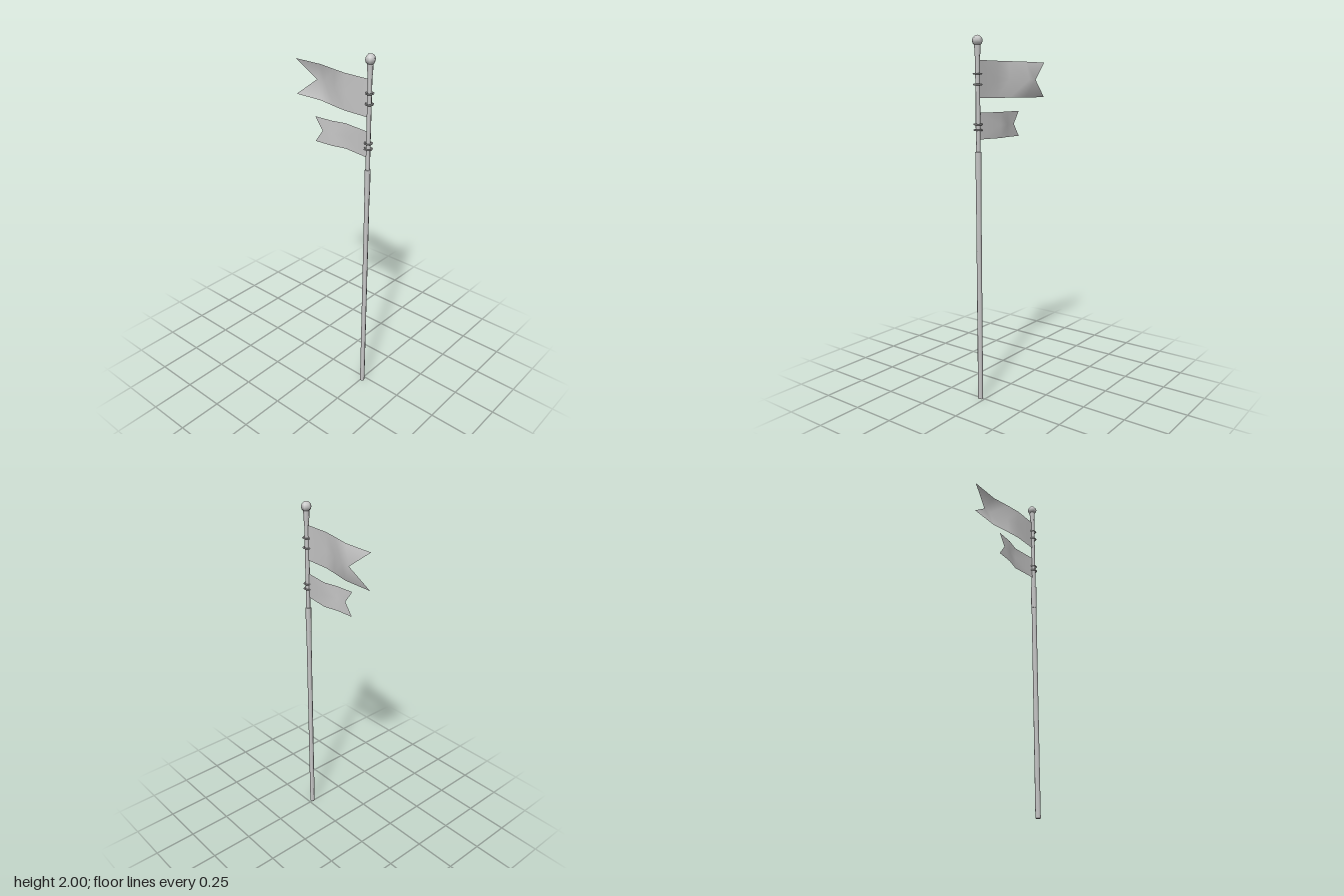
import * as THREE from 'three';

const POLE_X = 0.257, POLE_Z = 0.025, SIDES = 6;
const metal = new THREE.MeshStandardMaterial({ color: 0xcccccc });
const cloth = new THREE.MeshStandardMaterial({ color: 0xcccccc, side: THREE.DoubleSide });

function add(parent, name, geometry, material = metal) {
  const mesh = new THREE.Mesh(geometry, material);
  mesh.name = name;
  parent.add(mesh);
  return mesh;
}

// Six-sided rod between two heights, with corners on the x axis
function rod(parent, name, y0, y1, r0, r1 = r0) {
  const g = new THREE.CylinderGeometry(r1, r0, y1 - y0, SIDES);
  g.rotateY(Math.PI / 2);
  g.translate(0, (y0 + y1) / 2, 0);
  return add(parent, name, g);
}

// Cloth sheet: each column is [edge x, edge z, middle x, middle z];
// the last column's middle point forms the swallowtail notch
function banner(parent, name, top, bottom, columns) {
  const pos = [], index = [], middle = (top + bottom) / 2;
  for (const [x, z, mx, mz] of columns) {
    pos.push(x, top, z, mx, middle, mz, x, bottom, z);
  }
  for (let i = 0; i < columns.length - 1; i++) {
    const a = i * 3, b = a + 3;
    // upper and lower halves, mirrored diagonals
    index.push(a, b, b + 1, a, b + 1, a + 1);
    index.push(a + 1, b + 1, a + 2, a + 2, b + 1, b + 2);
  }
  // columns run towards -x, so reverse the winding to face the front
  index.reverse();
  const g = new THREE.BufferGeometry();
  g.setAttribute('position', new THREE.Float32BufferAttribute(pos, 3));
  g.setIndex(index);
  g.computeVertexNormals();
  return add(parent, name, g, cloth);
}

export function createModel() {
  const model = new THREE.Group();
  model.name = 'bannerPole';

  // Pole with sleeve joint, flared cap and ball
  const pole = new THREE.Group();
  pole.name = 'pole';
  pole.position.set(POLE_X, 0, POLE_Z);
  model.add(pole);
  rod(pole, 'lowerShaft', 0, 1.3, 0.0145);
  rod(pole, 'upperShaft', 1.3, 1.92, 0.0125);
  rod(pole, 'jointSleeve', 1.255, 1.4, 0.0165);
  rod(pole, 'topCollar', 1.895, 1.955, 0.0145, 0.017);
  const ball = new THREE.SphereGeometry(0.028, SIDES, 6);
  ball.translate(0, 1.972, 0);
  add(pole, 'finialBall', ball);

  // Rings holding the banners
  for (const y of [1.805, 1.75, 1.545, 1.515]) {
    const ring = new THREE.TorusGeometry(0.021, 0.0045, 5, SIDES);
    ring.rotateX(Math.PI / 2);
    ring.translate(0, y, 0);
    add(pole, 'ring', ring);
  }

  // Long upper banner, bulging backwards along its middle
  banner(model, 'upperBanner', 1.875, 1.68, [
    [0.25, 0.025, 0.25, 0.025],
    [0.095, 0.02, 0.095, 0.02],
    [0.01, 0.003, 0.01, 0.003],
    [-0.105, -0.023, -0.105, -0.05],
    [-0.285, -0.025, -0.16, -0.052],
  ]);

  // Short lower banner with a gentle wave
  banner(model, 'lowerBanner', 1.605, 1.465, [
    [0.25, 0.025, 0.25, 0.025],
    [0.09, 0.002, 0.09, 0.002],
    [0.005, 0.02, 0.005, 0.02],
    [-0.105, 0.024, -0.055, 0.022],
  ]);

  return model;
}
